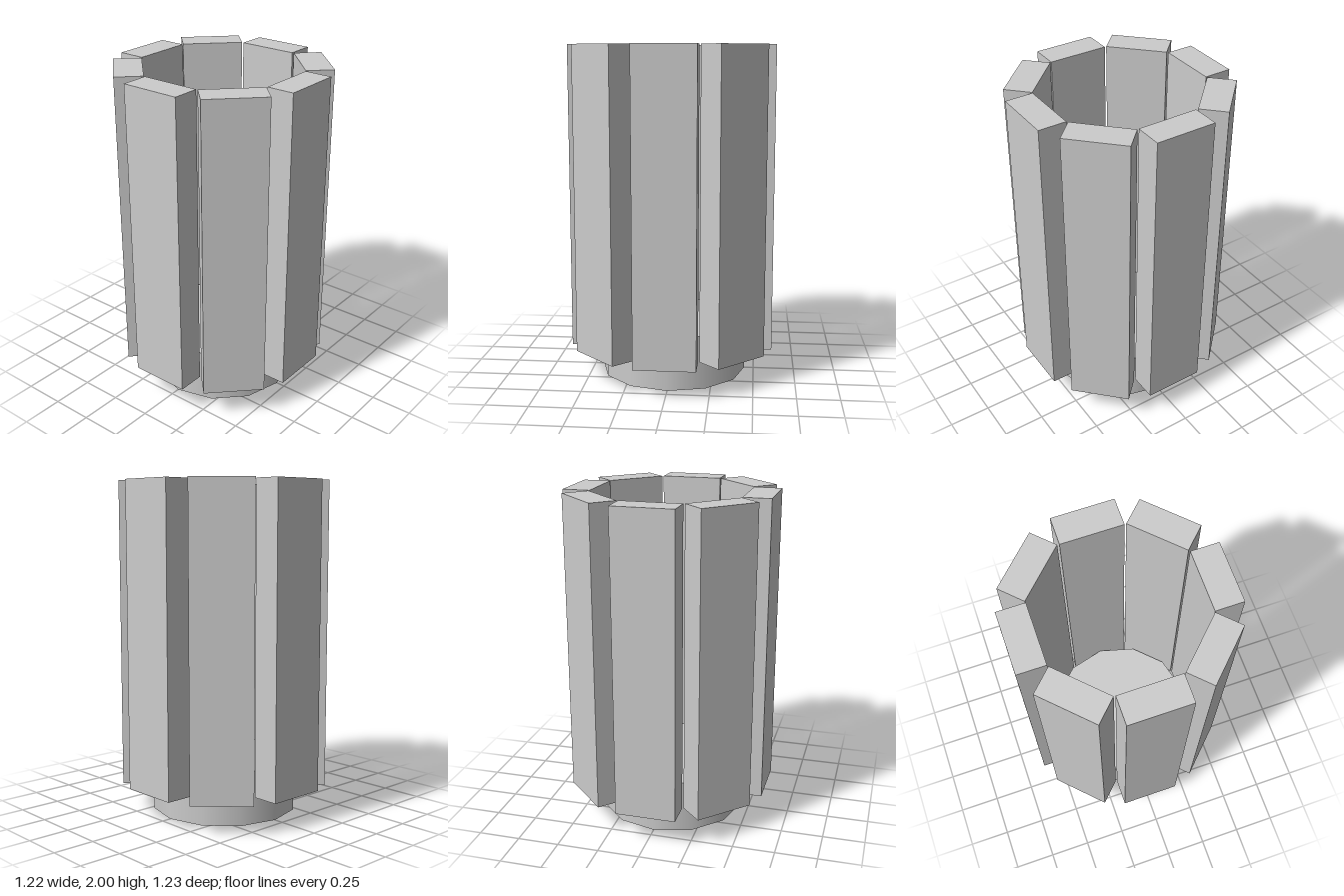
import * as THREE from 'three';

export function createModel() {
  const model = new THREE.Group();
  model.name = 'slattedContainer';
  const material = new THREE.MeshStandardMaterial({ color: 0xcccccc });

  // Twelve-sided base disc with a smooth rim
  const base = new THREE.Mesh(new THREE.CylinderGeometry(0.443, 0.443, 0.32, 12), material);
  base.name = 'base';
  base.position.set(-0.001, 0.16, 0.002);
  model.add(base);

  // Eight upright slats in a slightly uneven ring: [x, z], counter-clockwise from the front
  const slatCentres = [
    [0, 0.529], [0.375, 0.371], [0.525, -0.006], [0.375, -0.385],
    [0, -0.534], [-0.375, -0.377], [-0.527, 0], [-0.373, 0.375],
  ];
  const bottom = 0.18, top = 2;
  const slatGeometry = new THREE.BoxGeometry(0.362, top - bottom, 0.165);
  slatCentres.forEach(([x, z], i) => {
    const slat = new THREE.Mesh(slatGeometry, material);
    slat.name = `slat${i + 1}`;
    slat.position.set(x, (top + bottom) / 2, z);
    slat.rotation.y = i * Math.PI / 4;
    model.add(slat);
  });

  return model;
}
